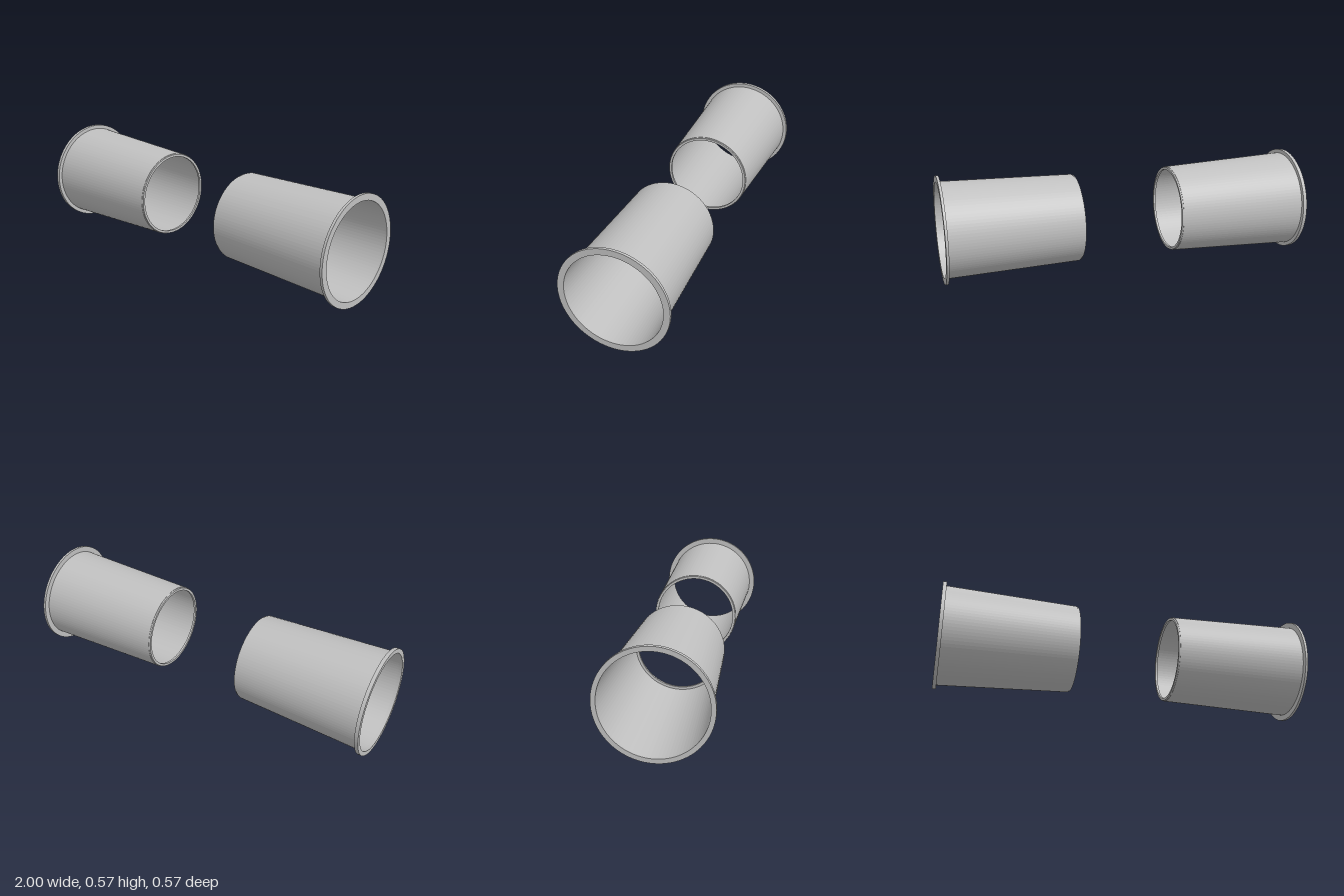
import * as THREE from 'three';

const SEGMENTS = 96;
const CENTRE_Y = 0.287;

// Closed ring profile: each end is [distance along axis, inner radius, outer radius]
function ring(near, far, material, name) {
  const [a, ai, ao] = near;
  const [b, bi, bo] = far;
  const points = [[ai, a], [ao, a], [bo, b], [bi, b], [ai, a]]
    .map(([r, d]) => new THREE.Vector2(r, d));
  const mesh = new THREE.Mesh(new THREE.LatheGeometry(points, SEGMENTS), material);
  mesh.name = name;
  return mesh;
}

// One tapered sleeve, built outward from the centre along its own y axis
function sleeve(name, mouthRadius, flangeThickness, material) {
  const group = new THREE.Group();
  group.name = name;
  const flangeStart = 1 - flangeThickness;
  const wall = 0.003;
  group.add(
    // thin tapered wall
    ring([0.278, 0.235, 0.238], [flangeStart, mouthRadius - wall, mouthRadius], material, 'taperedTube'),
    // inward lip at the narrow end
    ring([0.27, 0.221, 0.2345], [0.282, 0.221, 0.2365], material, 'endLip'),
    // wide collar at the outer end
    ring([flangeStart, mouthRadius - wall, 0.287], [1, mouthRadius - wall, 0.287], material, 'flange'),
  );
  return group;
}

export function createModel() {
  const model = new THREE.Group();
  model.name = 'sleevePair';
  const grey = new THREE.MeshStandardMaterial({ color: 0xc0c0c0, flatShading: true });
  grey.name = 'lightGrey';

  const left = sleeve('leftSleeve', 0.256, 0.014, grey);
  left.rotation.z = -Math.PI / 2;
  const right = sleeve('rightSleeve', 0.266, 0.02, grey);
  right.rotation.z = Math.PI / 2;

  for (const part of [left, right]) {
    part.position.y = CENTRE_Y;
    model.add(part);
  }
  return model;
}
